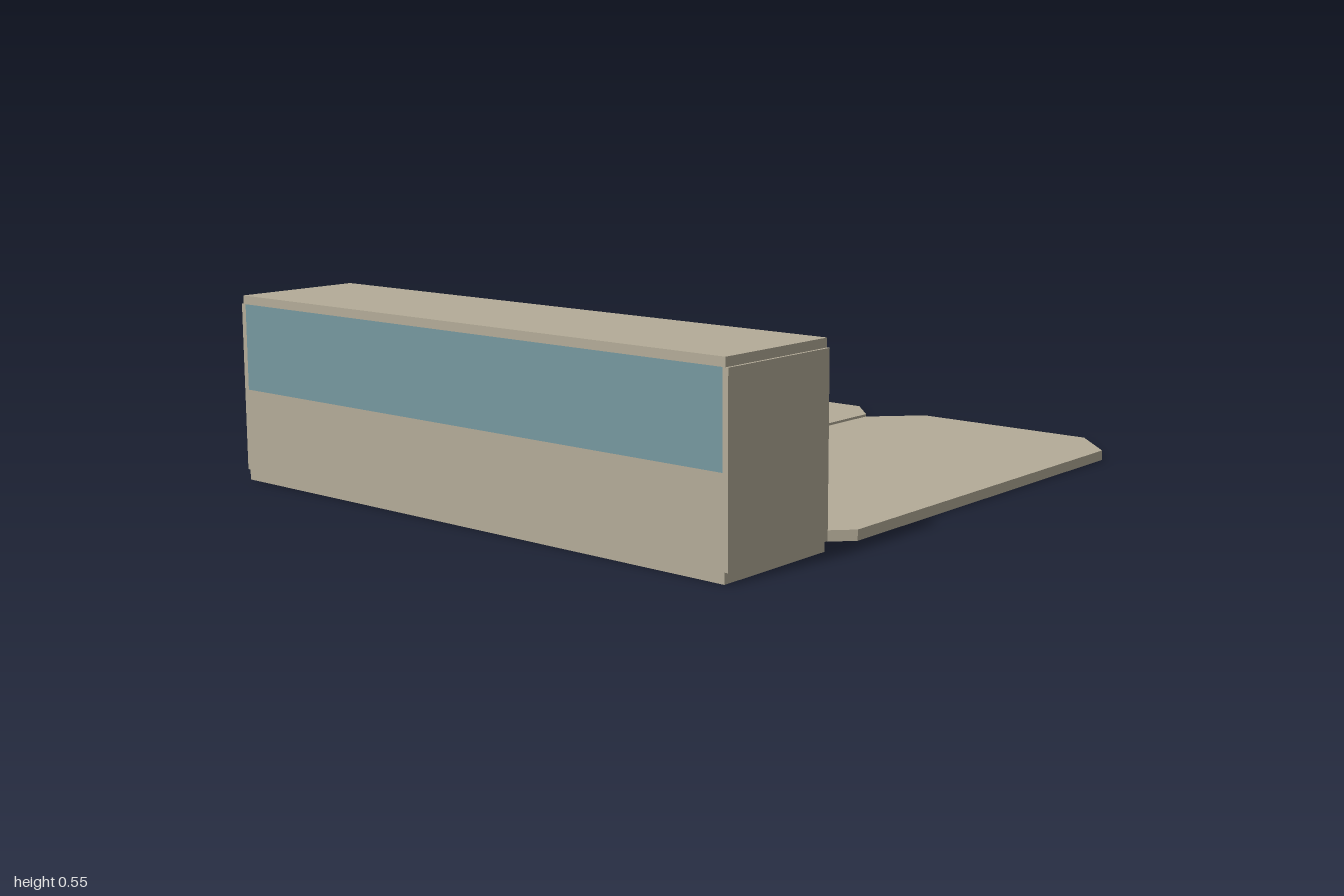
import * as THREE from 'three';

export function createModel() {
  const model = new THREE.Group();
  const concrete = new THREE.MeshStandardMaterial({ color: 0xb4ac98 });
  concrete.name = 'warm concrete';
  const glass = new THREE.MeshStandardMaterial({ color: 0x7698a0 });
  glass.name = 'blue glass';
  const foliage = new THREE.MeshStandardMaterial({ color: 0x568364 });
  foliage.name = 'foliage green';

  const add = (name, geometry, material, parent = model) => {
    const mesh = new THREE.Mesh(geometry, material);
    mesh.name = name;
    parent.add(mesh);
    return mesh;
  };

  // Box given by its limits on each axis
  const box = (name, [x0, x1], [y0, y1], [z0, z1], material) => {
    const mesh = add(name, new THREE.BoxGeometry(x1 - x0, y1 - y0, z1 - z0), material);
    mesh.position.set((x0 + x1) / 2, (y0 + y1) / 2, (z0 + z1) / 2);
  };

  // Upright slab whose four plan corners are cut by cx and cz
  const cutSlab = (name, [x0, x1], [y0, y1], [z0, z1], cx, cz, material, parent) => {
    const plan = [
      [x0, z0 + cz], [x0 + cx, z0], [x1 - cx, z0], [x1, z0 + cz],
      [x1, z1 - cz], [x1 - cx, z1], [x0 + cx, z1], [x0, z1 - cz],
    ].map(([x, z]) => new THREE.Vector2(x, -z));
    const geometry = new THREE.ExtrudeGeometry(new THREE.Shape(plan), {
      depth: y1 - y0, bevelEnabled: false,
    });
    geometry.rotateX(-Math.PI / 2).translate(0, y0, 0);
    return add(name, geometry, material, parent);
  };

  // Shelter: floor, back wall with window band, end panels, roof
  const depth = [-1, -0.6];
  box('shelterFloor', depth, [0, 0.03], [-0.9, 0.9], concrete);
  box('backWall', [-1, -0.985], [0.03, 0.27], [-0.893, 0.893], concrete);
  box('backWindow', [-1, -0.985], [0.27, 0.522], [-0.893, 0.893], glass);
  box('endPanelFront', depth, [0.03, 0.522], [0.893, 0.91], concrete);
  box('endPanelBack', depth, [0.03, 0.522], [-0.91, -0.893], concrete);
  box('roof', depth, [0.522, 0.547], [-0.902, 0.902], concrete);

  // Two platforms with cut corners
  cutSlab('backPlatform', [-0.6, 1], [0, 0.03], [-0.9, -0.013], 0.108, 0.104, concrete);
  cutSlab('frontPlatform', [-0.6, 1], [0, 0.03], [0.012, 0.9], 0.146, 0.142, concrete);

  // Row of planters, each with one tall and two low clipped shrubs
  for (const z of [0.719, 0, -0.719]) {
    const planter = new THREE.Group();
    planter.name = 'planter';
    planter.position.set(-0.87, 0, z);
    model.add(planter);
    cutSlab('planterTub', [-0.068, 0.068], [0.03, 0.097], [-0.105, 0.105], 0.015, 0.01, concrete, planter);
    cutSlab('tallShrub', [-0.015, 0.052], [0.097, 0.23], [-0.04, 0.068], 0.01, 0.007, foliage, planter);
    cutSlab('lowShrubLeft', [-0.05, 0.008], [0.097, 0.184], [0.04, 0.101], 0.008, 0.006, foliage, planter);
    cutSlab('lowShrubRight', [-0.02, 0.035], [0.097, 0.187], [-0.086, -0.035], 0.008, 0.006, foliage, planter);
  }

  return model;
}
